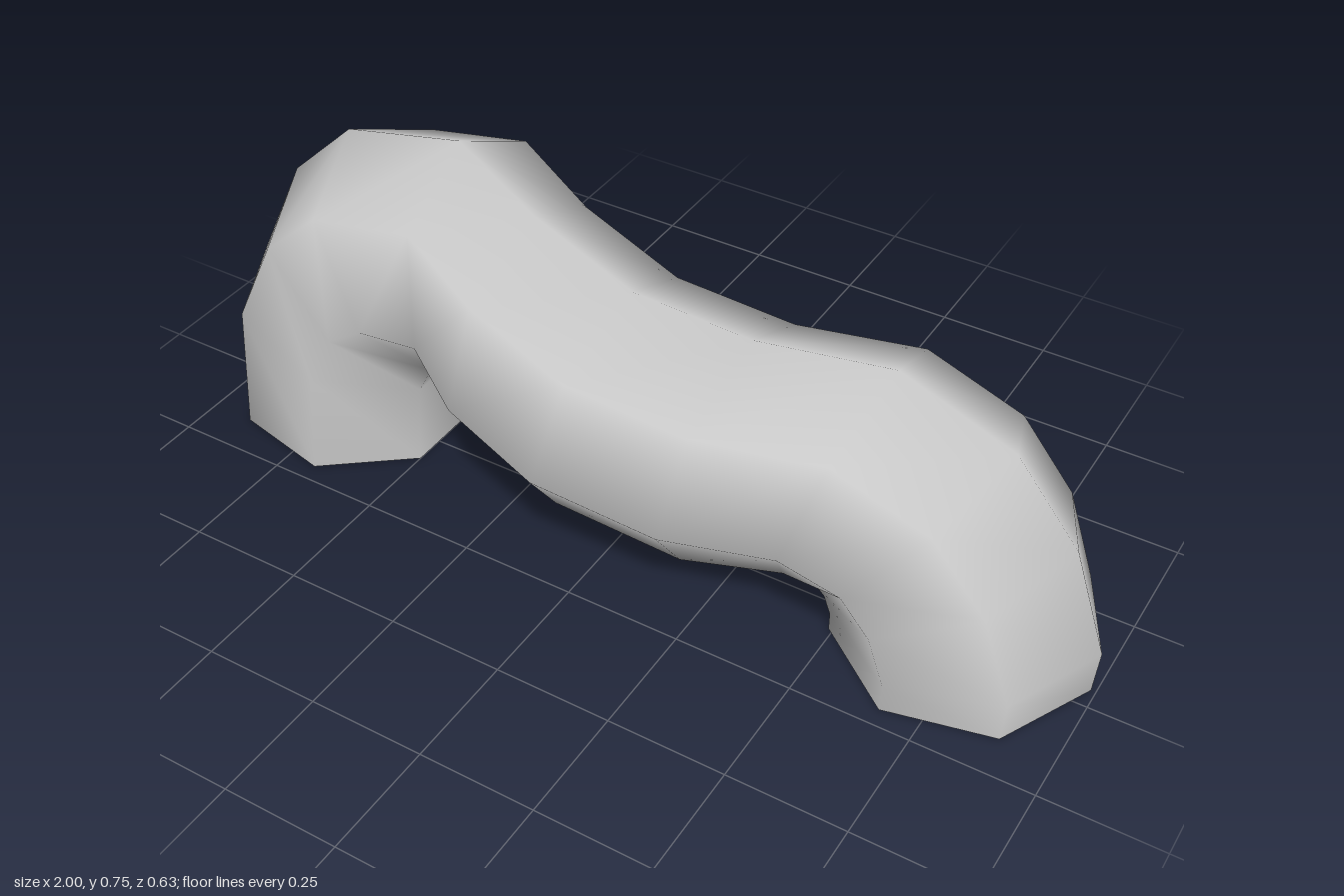
import * as THREE from 'three';

const SIDES = 7;
const HALF_WIDTH = 0.262;

// Rings from the right foot to the left foot:
// crest x, crest y, underside x, underside y, sideways offset z
const RINGS = [
  [-1.0, 0, -0.5, 0, -0.045],
  [-0.98, 0.32, -0.49, 0.19, -0.05],
  [-0.87, 0.55, -0.46, 0.25, -0.055],
  [-0.72, 0.69, -0.42, 0.25, -0.06],
  [-0.44, 0.75, -0.36, 0.24, -0.06],
  [-0.22, 0.69, -0.28, 0.19, 0.01],
  [0.03, 0.63, -0.08, 0.14, 0.055],
  [0.28, 0.605, 0.2, 0.11, 0.04],
  [0.55, 0.61, 0.4, 0.13, -0.012],
  [0.78, 0.49, 0.455, 0.1, -0.045],
  [0.92, 0.32, 0.475, 0.08, -0.045],
  [0.997, 0.1, 0.49, 0.04, -0.045],
  [0.99, 0, 0.49, 0, -0.045],
];

// Seven-sided ring: one corner on the crest, a flat edge underneath
function ringPoints([tx, ty, bx, by, z]) {
  const depth = 1 + Math.cos(Math.PI / SIDES);
  const points = [];
  for (let k = 0; k < SIDES; k++) {
    const a = (k / SIDES) * Math.PI * 2;
    const t = (1 - Math.cos(a)) / depth;
    points.push(
      THREE.MathUtils.lerp(tx, bx, t),
      THREE.MathUtils.lerp(ty, by, t),
      z + HALF_WIDTH * Math.sin(a),
    );
  }
  return points;
}

function loftGeometry(rings) {
  const index = [];
  for (let i = 0; i < rings.length - 1; i++) {
    for (let k = 0; k < SIDES; k++) {
      const a = i * SIDES + k;
      const c = i * SIDES + ((k + 1) % SIDES);
      const b = a + SIDES;
      const d = c + SIDES;
      index.push(a, c, b, b, c, d);
    }
  }
  const geometry = new THREE.BufferGeometry();
  geometry.setAttribute('position', new THREE.Float32BufferAttribute(rings.flatMap(ringPoints), 3));
  geometry.setIndex(index);
  geometry.computeVertexNormals();
  return geometry;
}

export function createModel() {
  const group = new THREE.Group();
  group.name = 'archedTube';

  // Bent tube, open at both feet
  const material = new THREE.MeshStandardMaterial({ color: 0xcccccc, side: THREE.DoubleSide });
  const tube = new THREE.Mesh(loftGeometry(RINGS), material);
  tube.name = 'bentTube';
  group.add(tube);

  return group;
}
